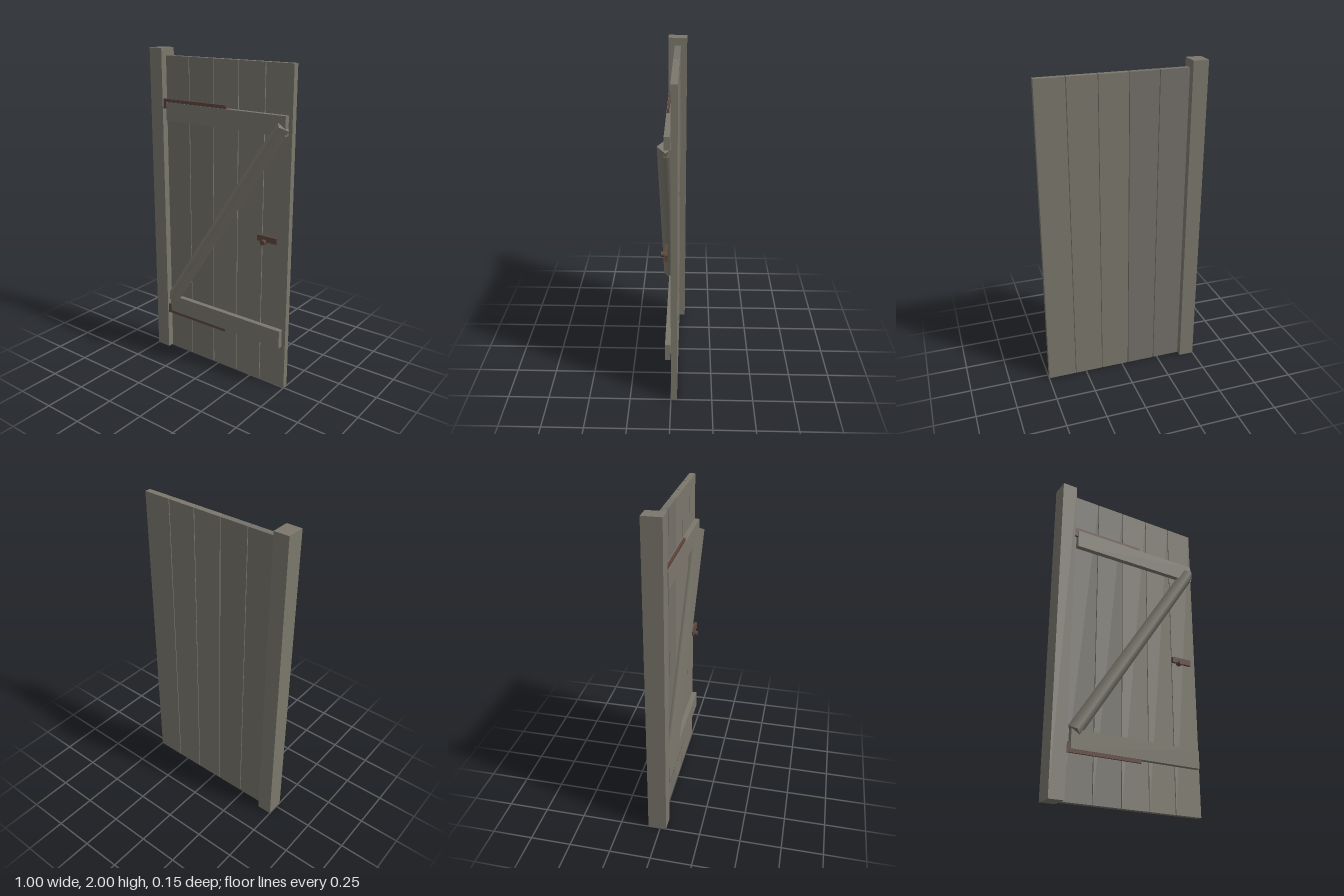
import * as THREE from 'three';

const wood = new THREE.MeshStandardMaterial({ color: 0x7b776c });
const darkWood = new THREE.MeshStandardMaterial({ color: 0x74716a });
const rust = new THREE.MeshStandardMaterial({ color: 0x5e453c });

// Box given by its min and max along each axis
function box(name, [x0, x1], [y0, y1], [z0, z1], material) {
  const mesh = new THREE.Mesh(new THREE.BoxGeometry(x1 - x0, y1 - y0, z1 - z0), material);
  mesh.position.set((x0 + x1) / 2, (y0 + y1) / 2, (z0 + z1) / 2);
  mesh.name = name;
  return mesh;
}

export function createModel() {
  const gate = new THREE.Group();
  gate.name = 'plankDoor';

  // Hanging post
  gate.add(box('post', [-0.5, -0.406], [0, 2], [-0.075, 0.038], wood));

  // Five upright planks with narrow gaps
  const pitch = 0.181;
  for (let i = 0; i < 5; i++) {
    const x = -0.403 + i * pitch;
    gate.add(box('plank' + (i + 1), [x, x + 0.1765], [0, 1.955], [-0.037, 0], i < 2 ? darkWood : wood));
  }

  // Horizontal ledges and hinge straps
  gate.add(box('upperLedge', [-0.38, 0.475], [1.567, 1.68], [0.003, 0.035], wood));
  gate.add(box('lowerLedge', [-0.38, 0.475], [0.28, 0.393], [0.003, 0.035], wood));
  gate.add(box('upperHinge', [-0.406, 0.07], [1.64, 1.7], [0.019, 0.031], rust));
  gate.add(box('lowerHinge', [-0.406, 0.07], [0.26, 0.32], [0.019, 0.031], rust));

  // Four-sided diagonal brace with softened edges
  const start = new THREE.Vector3(-0.36, 0.384, 0.026);
  const end = new THREE.Vector3(0.455, 1.622, 0.026);
  const along = end.clone().sub(start);
  const brace = new THREE.Mesh(new THREE.CylinderGeometry(0.045, 0.045, along.length(), 4), wood);
  brace.name = 'diagonalBrace';
  brace.position.copy(start).lerp(end, 0.5);
  brace.rotation.z = Math.atan2(along.y, along.x) - Math.PI / 2;
  gate.add(brace);

  // Latch bar and its knob
  const latch = new THREE.Group();
  latch.name = 'latch';
  latch.add(box('latchBar', [0.307, 0.441], [0.938, 0.974], [0.02, 0.037], rust));
  const knob = new THREE.Mesh(new THREE.CylinderGeometry(0.016, 0.016, 0.038, 10), rust);
  knob.name = 'latchKnob';
  knob.rotation.x = Math.PI / 2;
  knob.position.set(0.355, 0.938, 0.039);
  latch.add(knob);
  gate.add(latch);

  return gate;
}
